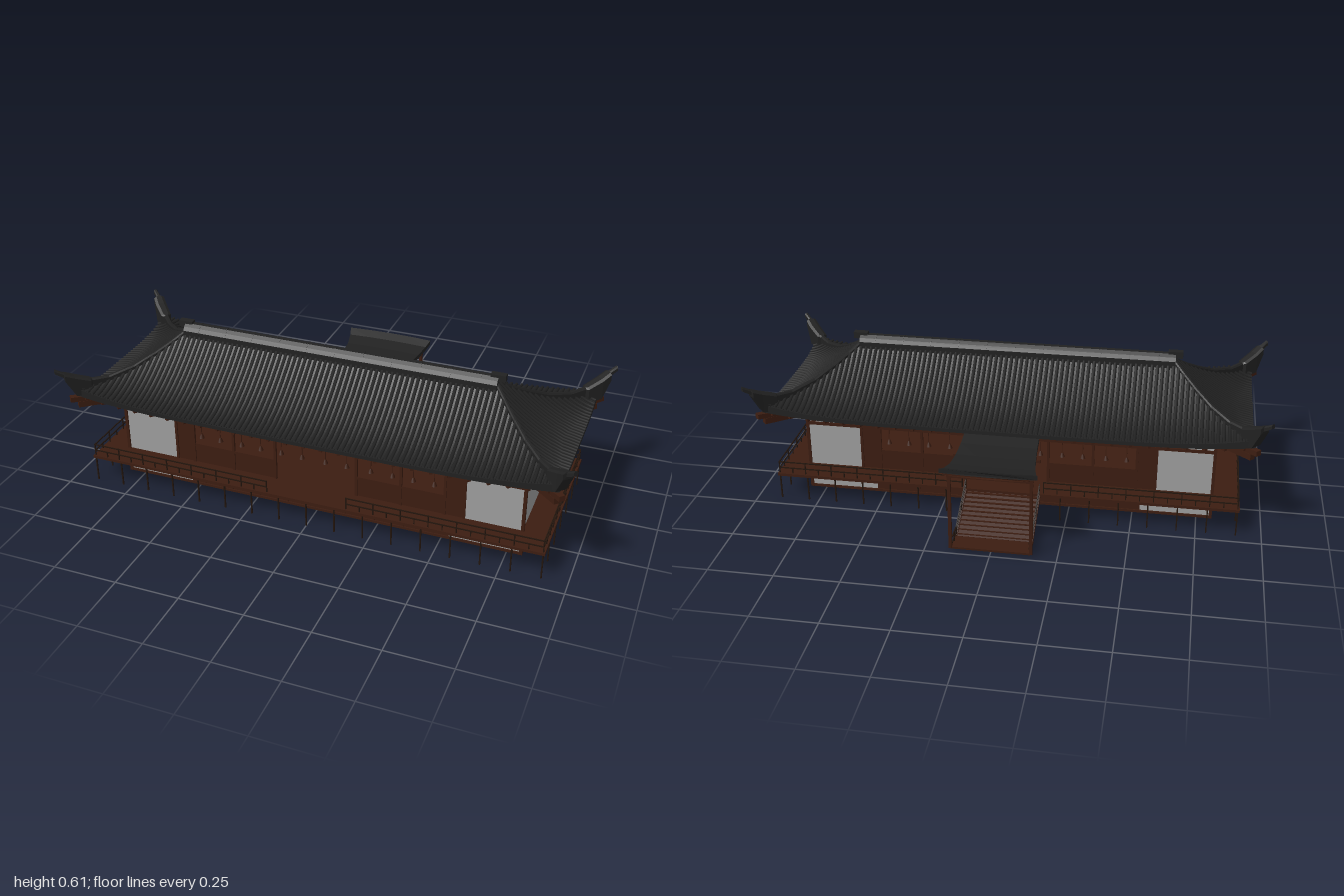
import * as THREE from 'three';
import { mergeGeometries } from 'three/addons/utils/BufferGeometryUtils.js';
import { ParametricGeometry } from 'three/addons/geometries/ParametricGeometry.js';

const CZ = 0.12, WX = 0.805, WZ = 0.223;          // centre of the house, wall half sizes
const RX = 0.62, EX = 0.32, EZ = 0.35;            // ridge half length, eave overhang in x and z
const material = (color) => new THREE.MeshStandardMaterial({ color, roughness: 0.9, side: THREE.DoubleSide });
const V = (x, y, z) => new THREE.Vector3(x, y, z);
const SIGNS = [-1, 1];

function box(x0, x1, y0, y1, z0, z1) {
  return new THREE.BoxGeometry(Math.abs(x1 - x0), y1 - y0, Math.abs(z1 - z0))
    .translate((x0 + x1) / 2, (y0 + y1) / 2, (z0 + z1) / 2);
}
const post = (x, z, y0, y1, w) => box(x - w / 2, x + w / 2, y0, y1, z - w / 2, z + w / 2);

// Straight bar between two points
function bar(p, q, w, h = w) {
  const m = new THREE.Matrix4().lookAt(q, p, V(0, 1, 0)).setPosition(p.clone().add(q).multiplyScalar(0.5));
  return new THREE.BoxGeometry(w, h, p.distanceTo(q)).applyMatrix4(m);
}

// Faceted solid through a list of rings
function loft(rings) {
  const pos = [], n = rings[0].length;
  const tri = (...pts) => pts.forEach((p) => pos.push(p.x, p.y, p.z));
  for (let i = 0; i + 1 < rings.length; i++) for (let j = 0; j < n; j++) {
    const k = (j + 1) % n, a = rings[i], b = rings[i + 1];
    tri(a[j], b[j], b[k]);
    tri(a[j], b[k], a[k]);
  }
  for (let j = 1; j + 1 < n; j++) {
    const a = rings[0], b = rings[rings.length - 1];
    tri(a[0], a[j], a[j + 1]);
    tri(b[0], b[j + 1], b[j]);
  }
  const g = new THREE.BufferGeometry().setAttribute('position', new THREE.Float32BufferAttribute(pos, 3));
  g.computeVertexNormals();
  return g;
}

// Roof surface: a runs along the eave (-1..1), u from ridge to eave
const lift = (a, u) => 0.045 * u * u * Math.abs(a) ** 5;
function roofPoint(long, s, a, u) {
  const y = 0.38 + 0.2 * (1 - u) ** 1.6 + lift(a, u);
  return long ? V(a * (RX + EX * u), y, CZ + s * EZ * u) : V(s * (RX + EX * u), y, CZ + a * EZ * u);
}
function soffitPoint(long, s, a, u) {
  const p = roofPoint(long, s, a, u);
  p.y = 0.366 + lift(a, u) * 0.6;
  return p;
}
const sheet = (fn, nu, nv) => new ParametricGeometry((u, v, t) => t.copy(fn(u, v)), nu, nv);

export function createModel() {
  const model = new THREE.Group();
  const tile = material(0x212121), wood = material(0x3c1d11), dark = material(0x22150d), plaster = material(0x9e9e9e);
  const part = (name, mat, geos) => {
    const list = geos.map((g) => {
      const c = g.index ? g.toNonIndexed() : g;
      c.deleteAttribute('uv');
      return c;
    });
    const mesh = new THREE.Mesh(mergeGeometries(list), mat);
    mesh.name = name;
    model.add(mesh);
  };

  // Main roof: four curved slopes with fascia, soffit, rafters and tile ribs
  const slopes = [], ribs = [], soffit = [], rafters = [], hips = [], cornerBeams = [];
  for (const s of SIGNS) for (const long of [true, false]) {
    slopes.push(sheet((p, u) => roofPoint(long, s, p * 2 - 1, u), 24, 10));
    slopes.push(sheet((p, v) => roofPoint(long, s, p * 2 - 1, 1).lerp(soffitPoint(long, s, p * 2 - 1, 1), v), 24, 1));
    soffit.push(sheet((p, v) => soffitPoint(long, s, p * 2 - 1, 0.45 + 0.55 * v), 24, 3));
    const count = long ? 92 : 36, half = long ? RX + EX : EZ;
    for (let i = 0; i < count; i++) {
      const c = half * ((i + 0.5) / count * 2 - 1);
      const u0 = long ? Math.max(0, (Math.abs(c) - RX) / EX) : Math.abs(c) / EZ;
      const pts = [];
      for (let k = 0; k <= 5; k++) {
        const u = Math.max(0.02, u0 + (1 - u0) * k / 5);
        const a = THREE.MathUtils.clamp(c / (long ? RX + EX * u : EZ * u), -1, 1);
        pts.push(roofPoint(long, s, a, u).add(V(0, 0.002, 0)));
      }
      if (1 - u0 > 0.03) ribs.push(new THREE.TubeGeometry(new THREE.CatmullRomCurve3(pts), 6, 0.0065, 6));
    }
    const nr = long ? 26 : 10;
    for (let i = 0; i <= nr; i++) {
      const a = (i / nr * 2 - 1) * 0.97, d = V(0, -0.005, 0);
      rafters.push(bar(soffitPoint(long, s, a, 0.6).add(d), soffitPoint(long, s, a, 0.98).add(d), 0.012, 0.012));
    }
  }
  part('roofSlopes', tile, slopes);
  part('roofTileRibs', tile, ribs);
  part('soffit', wood, [...soffit, box(-WX, WX, 0.36, 0.365, CZ - WZ, CZ + WZ)]);
  part('rafters', wood, rafters);

  // Slim hip ridges ending in upswept horns: x, z offset, top, bottom, half width
  const hipPath = [
    [0.62, 0.005, 0.585, 0.55, 0.007], [0.67, 0.055, 0.543, 0.51, 0.007], [0.72, 0.11, 0.507, 0.47, 0.007],
    [0.78, 0.175, 0.471, 0.43, 0.008], [0.85, 0.25, 0.449, 0.405, 0.009], [0.895, 0.3, 0.453, 0.395, 0.01],
    [0.9, 0.305, 0.456, 0.395, 0.021], [0.943, 0.346, 0.48, 0.398, 0.023], [0.968, 0.374, 0.498, 0.468, 0.022],
    [0.969, 0.375, 0.499, 0.479, 0.009], [0.994, 0.394, 0.517, 0.499, 0.008],
  ];
  for (const sx of SIGNS) for (const sz of SIGNS) {
    hips.push(loft(hipPath.map(([x, dz, top, bot, w]) => {
      const o = w * 0.7;
      return [[o, bot, -o], [o, top - 0.006, -o], [o / 2, top, -o / 2], [-o / 2, top, o / 2], [-o, top - 0.006, o], [-o, bot, o]]
        .map(([ox, y, oz]) => V(sx * (x + ox), y, CZ + sz * (dz + oz)));
    })));
    const at = (x, y, dz) => V(sx * x, y, CZ + sz * dz);
    cornerBeams.push(bar(at(0.78, 0.348, 0.2), at(0.935, 0.358, 0.35), 0.024, 0.024));
    cornerBeams.push(bar(at(0.78, 0.365, 0.2), at(0.955, 0.384, 0.37), 0.024, 0.02));
  }
  part('hipRidges', tile, hips);
  part('cornerBeams', wood, cornerBeams);

  // Main ridge with fine joints and end caps
  const ridgeRing = (x, k) => [[-0.033, 0.55], [-0.033, 0.578], [-0.024, 0.592], [-0.01, 0.602], [0.01, 0.602], [0.024, 0.592], [0.033, 0.578], [0.033, 0.55]]
    .map(([z, y]) => V(x, 0.55 + (y - 0.55) * k, CZ + z * k));
  const ridge = [loft([ridgeRing(-0.63, 1), ridgeRing(0.63, 1)])];
  for (let i = -5; i <= 5; i++) ridge.push(loft([ridgeRing(i * 0.113 - 0.002, 1.02), ridgeRing(i * 0.113 + 0.002, 1.02)]));
  for (const s of SIGNS) ridge.push(box(s * 0.6, s * 0.657, 0.585, 0.611, CZ - 0.013, CZ + 0.013));
  part('mainRidge', tile, ridge);

  // Walls, identical on the front and back, with open doors and windows
  const panels = [], boards = [], frame = [], blocks = [], lanterns = [];
  for (const s of SIGNS) {
    const z = CZ + s * WZ, z0 = z - s * 0.01;
    for (const m of SIGNS) {
      panels.push(box(m * 0.585, m * WX, 0.11, 0.36, z0, z), box(m * 0.53, m * WX, 0.015, 0.105, z0, z));
      panels.push(box(m * 0.51, m * 0.585, 0.3, 0.335, z0, z));
      boards.push(box(m * 0.51, m * 0.585, 0.11, 0.295, z0, z), box(m * 0.165, m * 0.51, 0.11, 0.195, z0, z));
      for (const x of [0.165, 0.34, 0.51, 0.585]) frame.push(post(m * x, z, 0.11, 0.36, 0.01));
      frame.push(post(m * WX, z, 0.01, 0.36, 0.012));
      frame.push(box(m * 0.165, m * 0.51, 0.19, 0.2, z0, z + s * 0.004));
    }
    boards.push(box(-0.53, 0.53, 0.015, 0.105, z0, z), box(-0.51, 0.51, 0.295, 0.365, z0, z));
    boards.push(box(-0.585, 0.585, 0.335, 0.365, z0, z));
    frame.push(box(-WX, WX, 0.292, 0.304, z0, z + s * 0.005), box(-WX, WX, 0.01, 0.02, z0, z + s * 0.005));
    for (let i = -4; i <= 4; i++) frame.push(post(i * 0.118, z, 0.015, 0.105, 0.005));
    for (let i = -8; i <= 8; i++) blocks.push(box(i * 0.095 - 0.008, i * 0.095 + 0.008, 0.335, 0.364, z, z + s * 0.06));
    for (const x of [-0.47, -0.39, -0.3, -0.22, -0.135, -0.05, 0.045, 0.13, 0.225, 0.31, 0.39, 0.47]) {
      lanterns.push(new THREE.CylinderGeometry(0.004, 0.011, 0.018, 8).translate(x, 0.245, z + s * 0.01));
      lanterns.push(post(x, z + s * 0.01, 0.25, 0.295, 0.003));
    }
    // End walls
    const x = s * WX, z1 = CZ - WZ, z2 = CZ + WZ;
    panels.push(box(x - s * 0.01, x, 0.015, 0.36, z1, z2));
    for (const [y0, y1] of [[0.292, 0.304], [0.01, 0.02], [0.355, 0.366]]) frame.push(box(x, x + s * 0.005, y0, y1, z1, z2));
    for (const bz of [0.318, 0.222, 0.152, 0.063, -0.022, -0.085]) blocks.push(box(x, x + s * 0.06, 0.335, 0.364, bz - 0.008, bz + 0.008));
  }
  part('plasterWalls', plaster, panels);
  part('woodPanels', wood, boards);
  part('wallFrame', wood, frame);
  part('eaveBlocks', wood, blocks);
  part('lanterns', wood, lanterns);
  part('deckFloor', wood, [box(-0.91, 0.91, 0.104, 0.115, -0.21, 0.45)]);

  // Deck supports and railing, open at the doors
  const stilts = [], rails = [];
  const X = 0.903, Z0 = -0.2, Z1 = 0.442, GAP = 0.16;
  for (const z of [Z0, Z1]) {
    for (let i = 0; i <= 16; i++) stilts.push(post(-X + i * X / 8, z, 0, 0.105, 0.005));
    for (const m of SIGNS) {
      for (const y of [0.137, 0.162]) rails.push(box(m * GAP, m * X, y - 0.002, y + 0.002, z - 0.002, z + 0.002));
      for (let i = 0; i <= 14; i++) rails.push(post(m * (GAP + (X - GAP) * i / 14), z, 0.115, i % 2 ? 0.138 : 0.165, 0.004));
    }
  }
  for (const x of [-X, X]) {
    for (let i = 1; i < 6; i++) stilts.push(post(x, Z0 + (Z1 - Z0) * i / 6, 0, 0.105, 0.005));
    for (const y of [0.137, 0.162]) rails.push(box(x - 0.002, x + 0.002, y - 0.002, y + 0.002, Z0, Z1));
    for (let i = 0; i <= 12; i++) rails.push(post(x, Z0 + (Z1 - Z0) * i / 12, 0.115, i % 2 ? 0.138 : 0.165, 0.004));
  }
  part('deckStilts', dark, stilts);
  part('deckRailing', dark, rails);

  // Rear stairs: sloping flight, treads, landing and handrails
  const stairs = [box(-0.15, 0.15, 0.008, 0.016, -0.48, -0.395), bar(V(0, 0.1, -0.205), V(0, 0.012, -0.4), 0.28, 0.01)];
  for (let i = 0; i < 10; i++) stairs.push(box(-0.14, 0.14, 0.095 - i * 0.009, 0.103 - i * 0.009, -0.22 - i * 0.0195, -0.205 - i * 0.0195));
  const stairRails = [];
  for (const x of [-0.145, 0.145]) {
    stairs.push(bar(V(x, 0.106, -0.205), V(x, 0.014, -0.4), 0.008, 0.016));
    for (const h of [0.02, 0.043]) {
      stairRails.push(bar(V(x, 0.11 + h, -0.2), V(x, 0.012 + h, -0.4), 0.004), bar(V(x, 0.012 + h, -0.4), V(x, 0.012 + h, -0.475), 0.004));
    }
    for (const [z, y] of [[-0.205, 0.11], [-0.3, 0.062], [-0.4, 0.012], [-0.437, 0.012]]) stairRails.push(post(x, z, y, y + 0.045, 0.004));
  }
  part('stairs', wood, stairs);
  part('stairRailing', dark, stairRails);

  // Sagging canopy over the stairs, bowed at its outer edge: z, top height, half width
  const sag = [[-0.11, 0.385, 0.143], [-0.2, 0.369, 0.143], [-0.28, 0.351, 0.145], [-0.35, 0.34, 0.15], [-0.42, 0.338, 0.158], [-0.48, 0.349, 0.17], [-0.515, 0.365, 0.18]];
  const slab = (t0, t1, k) => loft(sag.map(([z, y, w], i) => {
    const edge = (t, dir) => [-1, -0.5, 0, 0.5, 1].map((f) => V(dir * f * w * k, y - t, z - 0.0015 * i * (1 - f * f)));
    return [...edge(t1, 1), ...edge(t0, -1)];
  }));
  part('canopyRoof', tile, [slab(0, 0.017, 1)]);
  part('canopyUnderside', wood, [slab(0.017, 0.025, 0.93)]);
  part('canopyFrame', wood, [
    ...SIGNS.map((m) => post(m * 0.152, -0.475, 0.01, 0.335, 0.012)),
    box(-0.16, 0.16, 0.312, 0.326, -0.481, -0.469), box(-0.165, 0.165, 0.317, 0.329, -0.33, -0.32),
  ]);
  return model;
}
